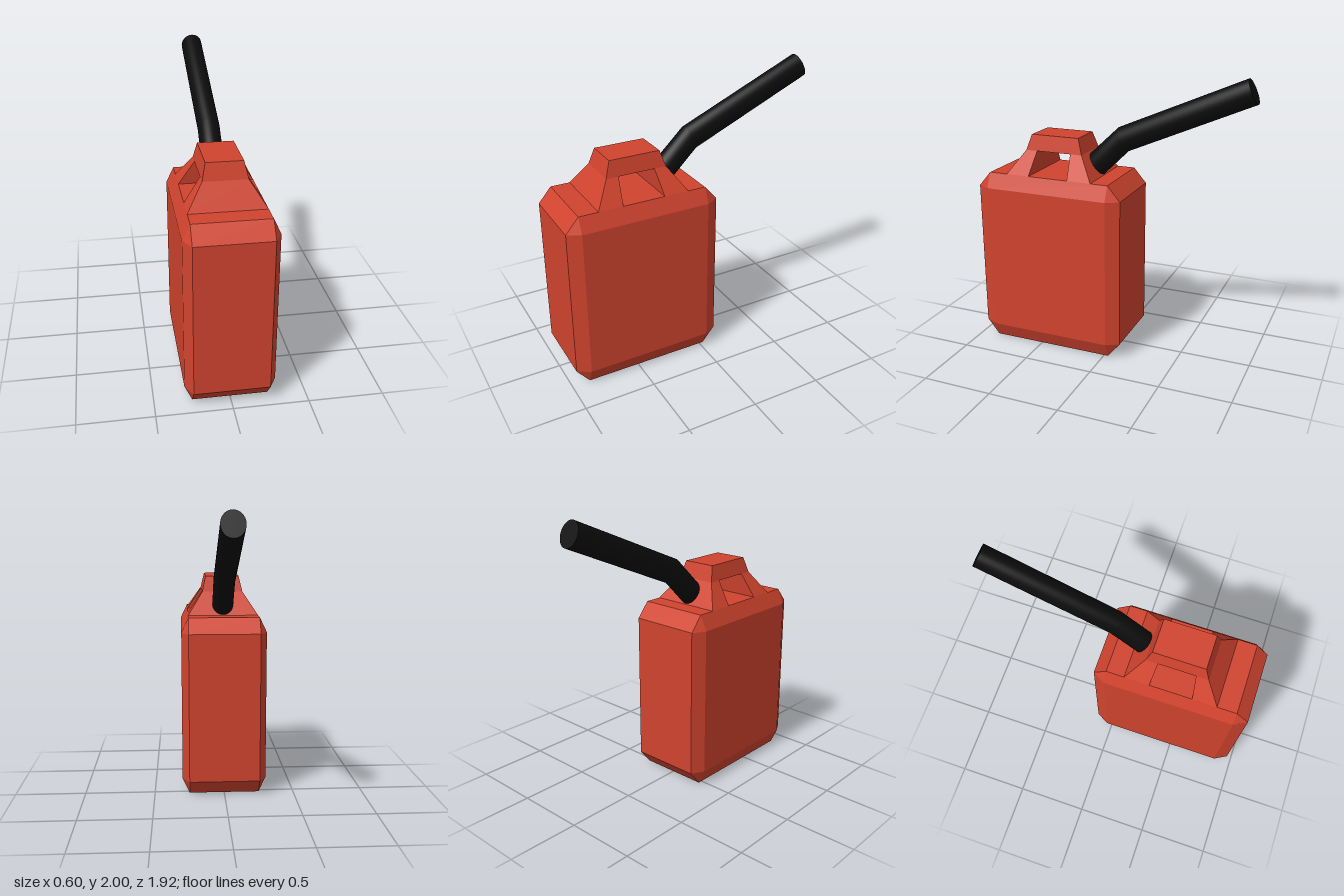
import * as THREE from 'three';
import { ConvexGeometry } from 'three/addons/geometries/ConvexGeometry.js';
import { toCreasedNormals } from 'three/addons/utils/BufferGeometryUtils.js';

const V = (x, y, z) => new THREE.Vector3(x, y, z);

// Four corners of a level rectangle, symmetric in x
const rect = (x, y, z0, z1) => [V(-x, y, z0), V(x, y, z0), V(x, y, z1), V(-x, y, z1)];

// Closed tube through elliptical rings, each given by its upper and lower [y, z] point
function loft(rings, halfWidth, sides) {
  const pos = [];
  const index = [];
  for (const [upper, lower] of rings) {
    const cy = (upper[0] + lower[0]) / 2, cz = (upper[1] + lower[1]) / 2;
    for (let i = 0; i < sides; i++) {
      const a = (i / sides) * Math.PI * 2;
      pos.push(Math.sin(a) * halfWidth,
        cy + Math.cos(a) * (upper[0] - cy),
        cz + Math.cos(a) * (upper[1] - cz));
    }
  }
  for (let r = 0; r < rings.length - 1; r++) {
    for (let i = 0; i < sides; i++) {
      const a = r * sides + i, b = r * sides + (i + 1) % sides;
      index.push(a, b, a + sides, b, b + sides, a + sides);
    }
  }
  // End caps
  const last = (rings.length - 1) * sides;
  for (let i = 1; i < sides - 1; i++) {
    index.push(0, i + 1, i, last, last + i, last + i + 1);
  }
  const geo = new THREE.BufferGeometry();
  geo.setAttribute('position', new THREE.Float32BufferAttribute(pos, 3));
  geo.setIndex(index);
  geo.computeVertexNormals();
  return toCreasedNormals(geo, 0.6);
}

export function createModel() {
  const model = new THREE.Group();
  model.name = 'fuelCan';

  const red = new THREE.MeshStandardMaterial({ color: 0xd0432e });
  red.name = 'red plastic';
  const black = new THREE.MeshStandardMaterial({ color: 0x0c0c0c });
  black.name = 'black plastic';

  const add = (parent, name, geometry, material) => {
    const mesh = new THREE.Mesh(geometry, material);
    mesh.name = name;
    parent.add(mesh);
  };

  // Tank: a box with every edge chamfered
  add(model, 'tank', new ConvexGeometry([
    ...rect(0.25, 0, -0.03, 0.87),
    ...[0.11, 1.17].flatMap((y) => [
      ...rect(0.25, y, -0.12, 0.96),
      ...rect(0.30, y, -0.03, 0.87),
    ]),
    ...rect(0.25, 1.275, -0.03, 0.87),
  ]), red);

  // Handle: two sloping legs and a tapered grip around an open window
  const handle = new THREE.Group();
  handle.name = 'handle';
  model.add(handle);
  add(handle, 'frontLeg', new ConvexGeometry([
    ...rect(0.25, 1.275, 0.565, 0.735),
    ...rect(0.145, 1.435, 0.545, 0.63),
  ]), red);
  add(handle, 'backLeg', new ConvexGeometry([
    ...rect(0.25, 1.275, 0.27, 0.095),
    ...rect(0.145, 1.435, 0.29, 0.205),
  ]), red);
  add(handle, 'grip', new ConvexGeometry([
    ...rect(0.145, 1.435, 0.205, 0.63),
    ...rect(0.12, 1.545, 0.24, 0.595),
  ]), red);

  // Spout: a bent tube rising backwards from the rear slope of the handle
  add(model, 'spout', loft([
    [[1.42, 0.2], [1.28, 0.098]],
    [[1.62, -0.01], [1.46, -0.085]],
    [[2.0, -0.887], [1.84, -0.957]],
  ], 0.075, 32), black);

  return model;
}
